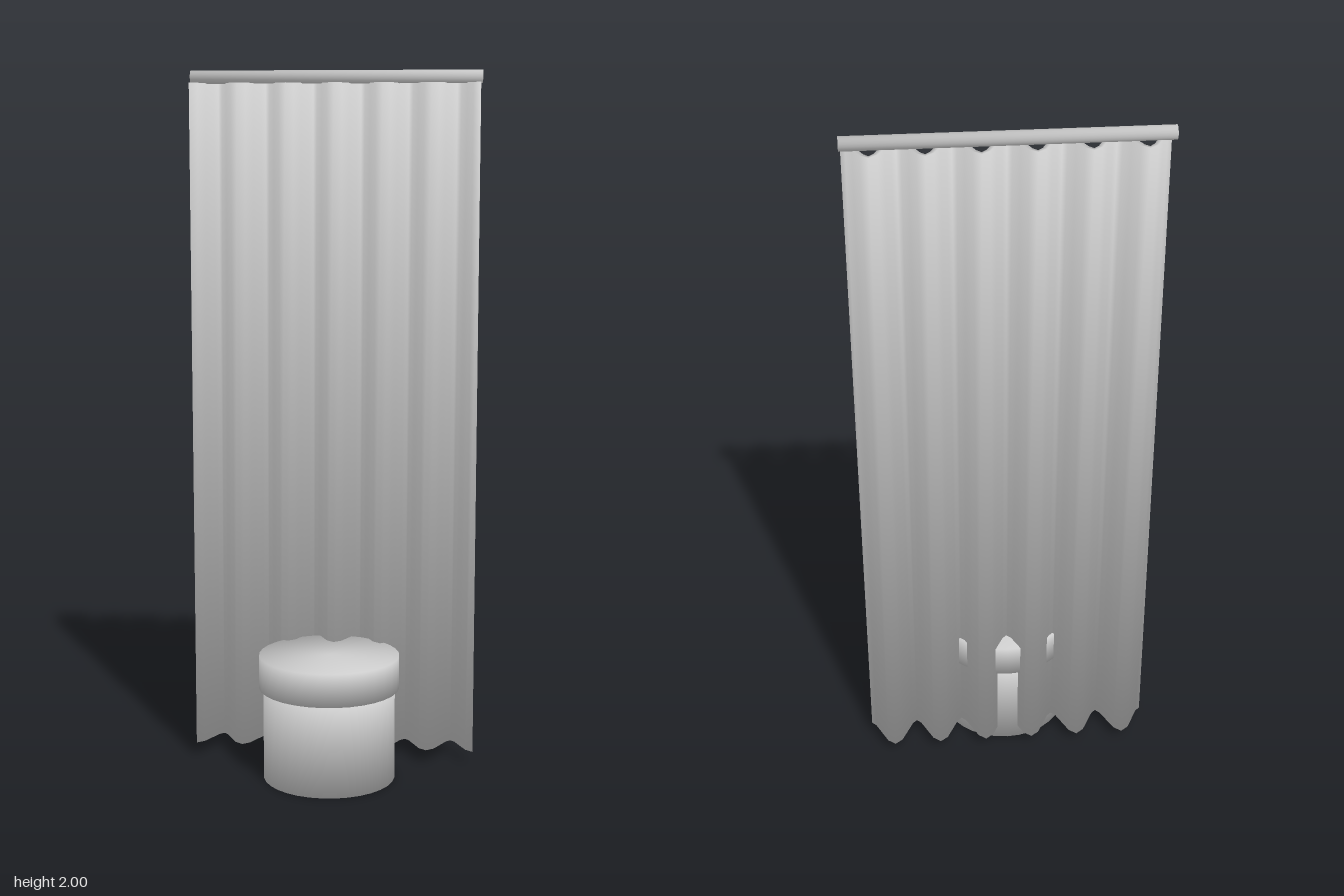
import * as THREE from 'three';

const fabricGrey = new THREE.MeshStandardMaterial({ color: 0xcccccc });
fabricGrey.name = 'light grey';

// Soften every rim: vertices sharing a position get the mean of their face normals
function blendNormals(geo) {
  const pos = geo.attributes.position, nor = geo.attributes.normal;
  const sums = new Map(), keys = [], v = new THREE.Vector3();
  for (let i = 0; i < pos.count; i++) {
    const key = [pos.getX(i), pos.getY(i), pos.getZ(i)].map(n => Math.round(n * 1e5)).join();
    keys.push(key);
    if (!sums.has(key)) sums.set(key, new THREE.Vector3());
    sums.get(key).add(v.fromBufferAttribute(nor, i));
  }
  sums.forEach(s => s.normalize());
  keys.forEach((key, i) => {
    const s = sums.get(key);
    nor.setXYZ(i, s.x, s.y, s.z);
  });
  return geo;
}

function part(name, geo, x, y, z) {
  const mesh = new THREE.Mesh(blendNormals(geo), fabricGrey);
  mesh.name = name;
  mesh.position.set(x, y, z);
  return mesh;
}

// Thin slab folded into six waves, kept at an even thickness
function curtainGeometry() {
  const width = 0.816, folds = 6, amp = 0.048, thick = 0.011;
  const geo = new THREE.BoxGeometry(width, 1.925, thick, folds * 8, 1, 1);
  const pos = geo.attributes.position, k = 2 * Math.PI * folds / width;
  for (let i = 0; i < pos.count; i++) {
    const x = pos.getX(i), off = pos.getZ(i);
    const slope = -amp * k * Math.sin(k * x);
    const len = Math.hypot(1, slope);
    pos.setX(i, x - off * slope / len);
    pos.setZ(i, amp * Math.cos(k * x) + off / len);
  }
  geo.computeVertexNormals();
  return geo;
}

export function createModel() {
  const group = new THREE.Group();
  group.name = 'curtain and stool';

  // Curtain hanging from its rod
  const rod = new THREE.CylinderGeometry(0.0185, 0.0185, 0.824, 16).rotateZ(Math.PI / 2);
  group.add(part('curtainRod', rod, 0, 1.9815, -0.168));
  group.add(part('curtain', curtainGeometry(), 0, 1.0025, -0.164));

  // Round stool with an overhanging lid
  group.add(part('stoolBody', new THREE.CylinderGeometry(0.188, 0.188, 0.265, 32), 0, 0.1325, 0.016));
  group.add(part('stoolLid', new THREE.CylinderGeometry(0.2, 0.2, 0.095, 32), 0, 0.3125, 0.016));

  return group;
}
